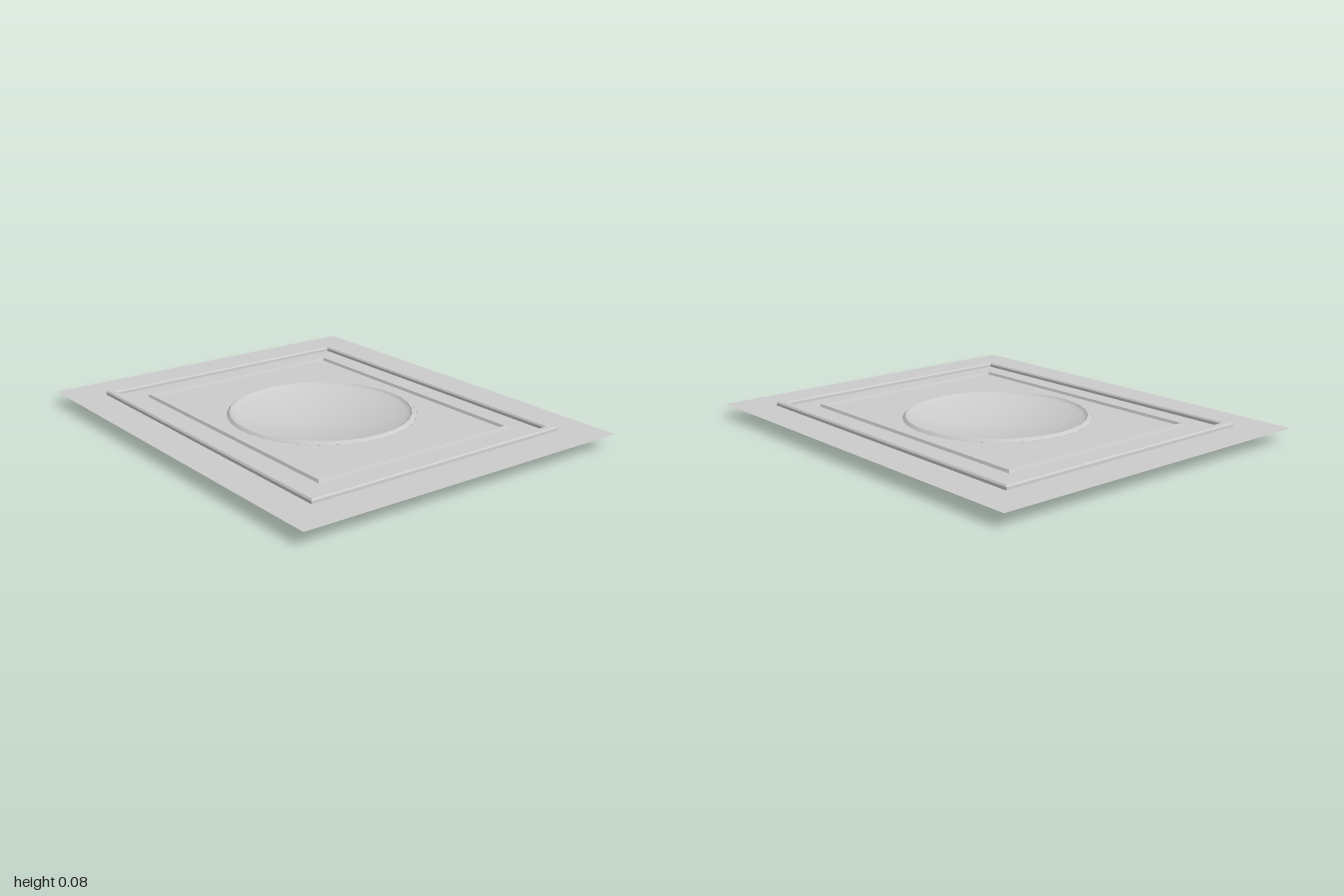
import * as THREE from 'three';
import { toCreasedNormals } from 'three/addons/utils/BufferGeometryUtils.js';

const BASE = 0.061; // height of the flat sheet

const grey = (flatShading) =>
  new THREE.MeshStandardMaterial({ color: 0xcccccc, side: THREE.DoubleSide, flatShading });

// Lofts nested rectangles, each given as [half width, half depth, height], outermost first
function rectLoft(rects) {
  const pos = [], index = [];
  for (const [w, d, y] of rects) pos.push(-w, y, d, w, y, d, w, y, -d, -w, y, -d);
  for (let r = 0; r < rects.length - 1; r++) {
    for (let i = 0; i < 4; i++) {
      const a = r * 4 + i, b = r * 4 + (i + 1) % 4;
      index.push(a, b, b + 4, a, b + 4, a + 4);
    }
  }
  const g = new THREE.BufferGeometry();
  g.setAttribute('position', new THREE.Float32BufferAttribute(pos, 3));
  g.setIndex(index);
  const flat = g.toNonIndexed();
  flat.computeVertexNormals();
  return flat;
}

// Raised rectangular bead: profile of [inset, rise] from its outer edge
const bead = (w, d, profile) => profile.map(([inset, rise]) => [w - inset, d - inset, BASE + rise]);

export function createModel() {
  const model = new THREE.Group();
  const add = (name, geometry, flat) => {
    const mesh = new THREE.Mesh(geometry, grey(flat));
    mesh.name = name;
    model.add(mesh);
  };

  const outer = bead(0.666, 0.82, [[0, 0], [0.001, 0.012], [0.007, 0.019], [0.032, 0.019], [0.038, 0.012], [0.039, 0]]);
  const inner = bead(0.523, 0.672, [[0, 0], [0.006, 0.012], [0.016, 0.012], [0.022, 0]]);

  // Flat sheet and the two raised frames
  add('border', rectLoft([[0.835, 1, BASE], outer[0]]), true);
  add('outerFrame', rectLoft(outer), true);
  add('frameGap', rectLoft([outer[outer.length - 1], inner[0]]), true);
  add('innerFrame', rectLoft(inner), true);

  // Centre panel with a round opening
  const [w, d] = inner[inner.length - 1];
  const panel = new THREE.Shape([[-w, -d], [w, -d], [w, d], [-w, d]].map(([x, y]) => new THREE.Vector2(x, y)));
  panel.holes.push(new THREE.Path().absarc(0, 0, 0.432, 0, Math.PI * 2, true));
  add('centrePanel', new THREE.ShapeGeometry(panel, 32).rotateX(-Math.PI / 2).translate(0, BASE, 0), true);

  // Raised rim running down into the shallow round dish
  const profile = [[0.432, BASE], [0.42, BASE + 0.012], [0.411, BASE + 0.012], [0.404, BASE + 0.004]];
  for (const r of [0.39, 0.31, 0.2, 0.1, 0]) profile.push([r, (BASE - 0.002) * (r / 0.39) ** 2]);
  const lathe = new THREE.LatheGeometry(profile.map(([x, y]) => new THREE.Vector2(x, y)), 32);
  add('dish', toCreasedNormals(lathe, 0.5), false);

  return model;
}
